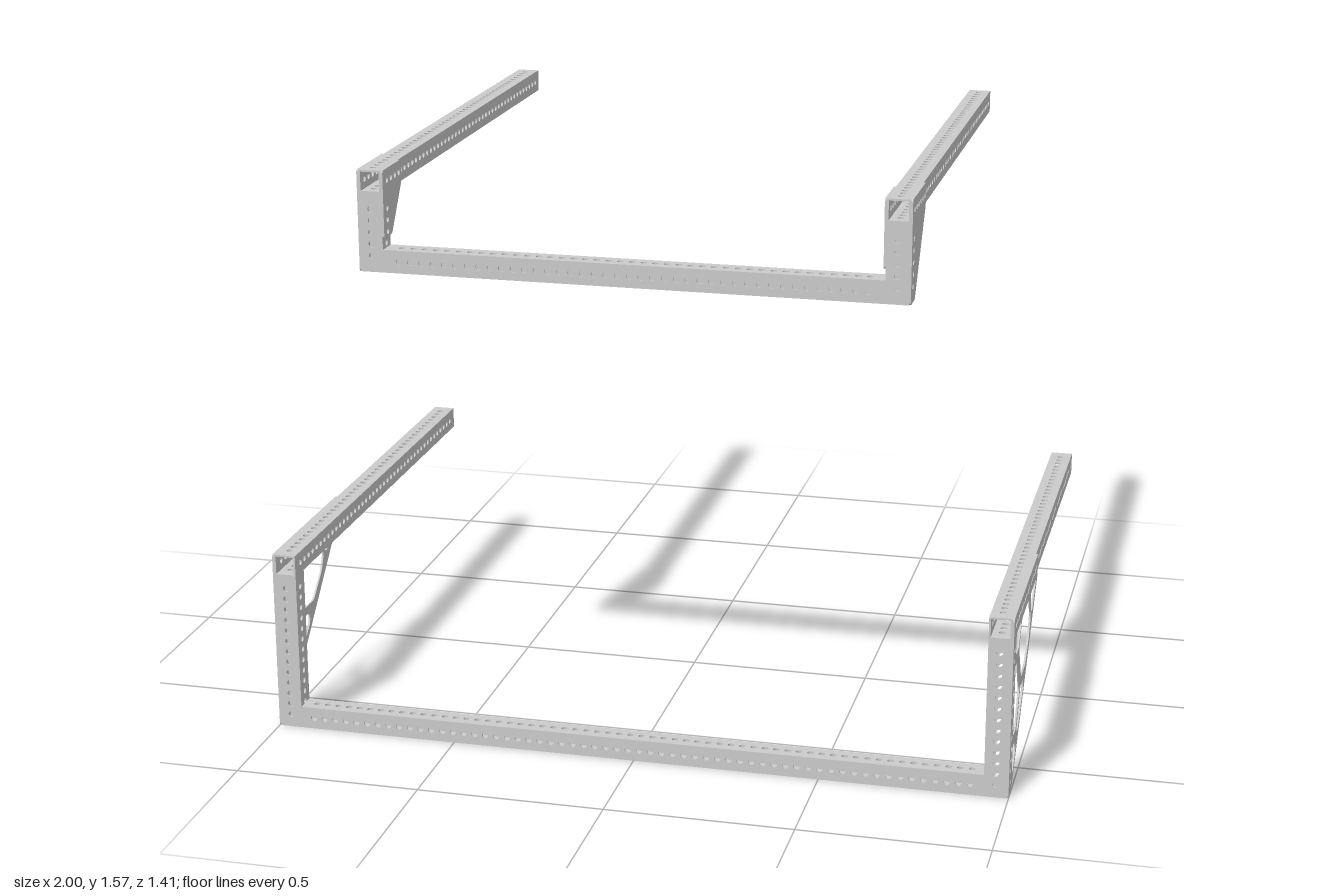
import * as THREE from 'three';
import { mergeGeometries } from 'three/addons/utils/BufferGeometryUtils.js';

const S = 0.06;        // tube width
const T = 0.005;       // wall and plate thickness
const PITCH = 0.0305;  // hole spacing
const R = 0.0085;      // hole radius
const material = new THREE.MeshStandardMaterial({ color: 0xcccccc });

// Evenly spaced hole centres along a tube of given length
function holeCentres(length) {
  const n = Math.floor((length - 0.065) / PITCH) + 1;
  const start = (length - (n - 1) * PITCH) / 2;
  return Array.from({ length: n }, (_, i) => start + i * PITCH);
}

function addHole(shape, x, y) {
  const path = new THREE.Path();
  path.absarc(x, y, R, 0, Math.PI * 2, true);
  shape.holes.push(path);
}

function extrude(shape, curveSegments) {
  return new THREE.ExtrudeGeometry(shape, { depth: T, bevelEnabled: false, curveSegments });
}

// Hollow square tube along +x, open at both ends, all four walls perforated
function tubeGeometry(length) {
  const walls = [];
  for (let k = 0; k < 4; k++) {
    const h = k % 2 ? S / 2 - T : S / 2;
    const shape = new THREE.Shape([
      new THREE.Vector2(0, -h), new THREE.Vector2(length, -h),
      new THREE.Vector2(length, h), new THREE.Vector2(0, h)]);
    holeCentres(length).forEach(x => addHole(shape, x, 0));
    walls.push(extrude(shape, 10).translate(0, 0, S / 2 - T).rotateX(k * Math.PI / 2));
  }
  return mergeGeometries(walls);
}

// Closed path with rounded corners from [z, y] points
function rounded(path, pts, r) {
  const v = pts.map(([z, y]) => new THREE.Vector2(-z, y));
  v.forEach((p, i) => {
    const a = v[(i + v.length - 1) % v.length], b = v[(i + 1) % v.length];
    const toward = q => q.clone().sub(p).setLength(Math.min(r, q.distanceTo(p) * 0.45)).add(p);
    const s = toward(a), e = toward(b);
    if (i === 0) path.moveTo(s.x, s.y); else path.lineTo(s.x, s.y);
    path.quadraticCurveTo(p.x, p.y, e.x, e.y);
  });
  path.closePath();
  return path;
}

// Gusset plate in the z-y plane, thickness along +x
function plateGeometry(outline, cutouts, holes) {
  const shape = rounded(new THREE.Shape(), outline, 0.008);
  cutouts.forEach(c => shape.holes.push(rounded(new THREE.Path(), c, 0.014)));
  holes.forEach(([z, y]) => addHole(shape, -z, y));
  return extrude(shape, 6).rotateY(Math.PI / 2);
}

function mesh(name, geometry, x, y, z) {
  const m = new THREE.Mesh(geometry, material);
  m.name = name;
  m.position.set(x, y, z);
  return m;
}

// U-shaped frame: crossbar, two posts and two arms reaching back
function frame(name, { x, bottom, top, front, back }) {
  const g = new THREE.Group();
  g.name = name;
  const zc = front - S / 2, span = 2 * x - S;
  g.add(mesh('crossbar', tubeGeometry(span), -span / 2, bottom + S / 2, zc));
  const post = tubeGeometry(top - S - bottom).rotateZ(Math.PI / 2);
  const arm = tubeGeometry(front - back).rotateY(Math.PI / 2);
  for (const [side, s] of [['left', 1], ['right', -1]]) {
    g.add(mesh(side + 'Post', post, s * x, bottom, zc));
    g.add(mesh(side + 'Arm', arm, s * x, top - S / 2, front));
  }
  // hole centres on the side faces, shared by the gussets
  const holes = [
    ...holeCentres(top - S - bottom).map(p => [zc, bottom + p]),
    ...holeCentres(front - back).map(p => [front - p, top - S / 2])];
  return { g, holes };
}

// Same plate on both sides; inner selects the face turned to the middle
function addPlates(g, name, geometry, x, inner) {
  const near = inner ? x - S / 2 - T : x + S / 2;
  g.add(mesh('left' + name, geometry, near, 0, 0));
  g.add(mesh('right' + name, geometry, -near - T, 0, 0));
}

export function createModel() {
  const model = new THREE.Group();
  model.name = 'perforatedTubeFrames';

  // Lower, wider frame with lattice gussets
  const lx = 0.965;
  const lower = frame('lowerFrame', { x: lx, bottom: 0, top: 0.497, front: 0.695, back: -0.665 });
  const lattice = [
    [[0.64, 0.435], [0.535, 0.435], [0.583, 0.375], [0.64, 0.375]],
    [[0.53, 0.435], [0.367, 0.435], [0.33, 0.37], [0.35, 0.325], [0.42, 0.262], [0.508, 0.262], [0.572, 0.367]],
    [[0.64, 0.352], [0.598, 0.352], [0.532, 0.24], [0.587, 0.15], [0.64, 0.15]],
    [[0.352, 0.435], [0.232, 0.435], [0.305, 0.37], [0.325, 0.375]],
    [[0.515, 0.24], [0.455, 0.24], [0.452, 0.21], [0.545, 0.125], [0.572, 0.137]],
    [[0.64, 0.125], [0.595, 0.125], [0.578, 0.095], [0.585, 0.08], [0.625, 0.043], [0.64, 0.05]]];
  addPlates(lower.g, 'LatticeGusset', plateGeometry(
    [[0.695, 0], [0.64, 0], [0.203, 0.437], [0.203, 0.497], [0.695, 0.497]],
    lattice, lower.holes.filter(h => h[0] > 0.215)), lx, false);
  model.add(lower.g);

  // Upper, narrower frame with solid gussets outside and smaller ones inside
  const ux = 0.682;
  const upper = frame('upperFrame', { x: ux, bottom: 1.303, top: 1.57, front: 0.704, back: -0.704 });
  addPlates(upper.g, 'OuterGusset', plateGeometry(
    [[0.704, 1.303], [0.644, 1.303], [0.504, 1.51], [0.504, 1.57], [0.704, 1.57]],
    [], upper.holes.filter(h => h[0] > 0.515)), ux, false);
  addPlates(upper.g, 'InnerGusset', plateGeometry(
    [[0.704, 1.392], [0.644, 1.392], [0.563, 1.51], [0.563, 1.57], [0.704, 1.57]],
    [], upper.holes.filter(h => h[0] > 0.575 && h[1] > 1.405)), ux, true);
  model.add(upper.g);

  return model;
}
